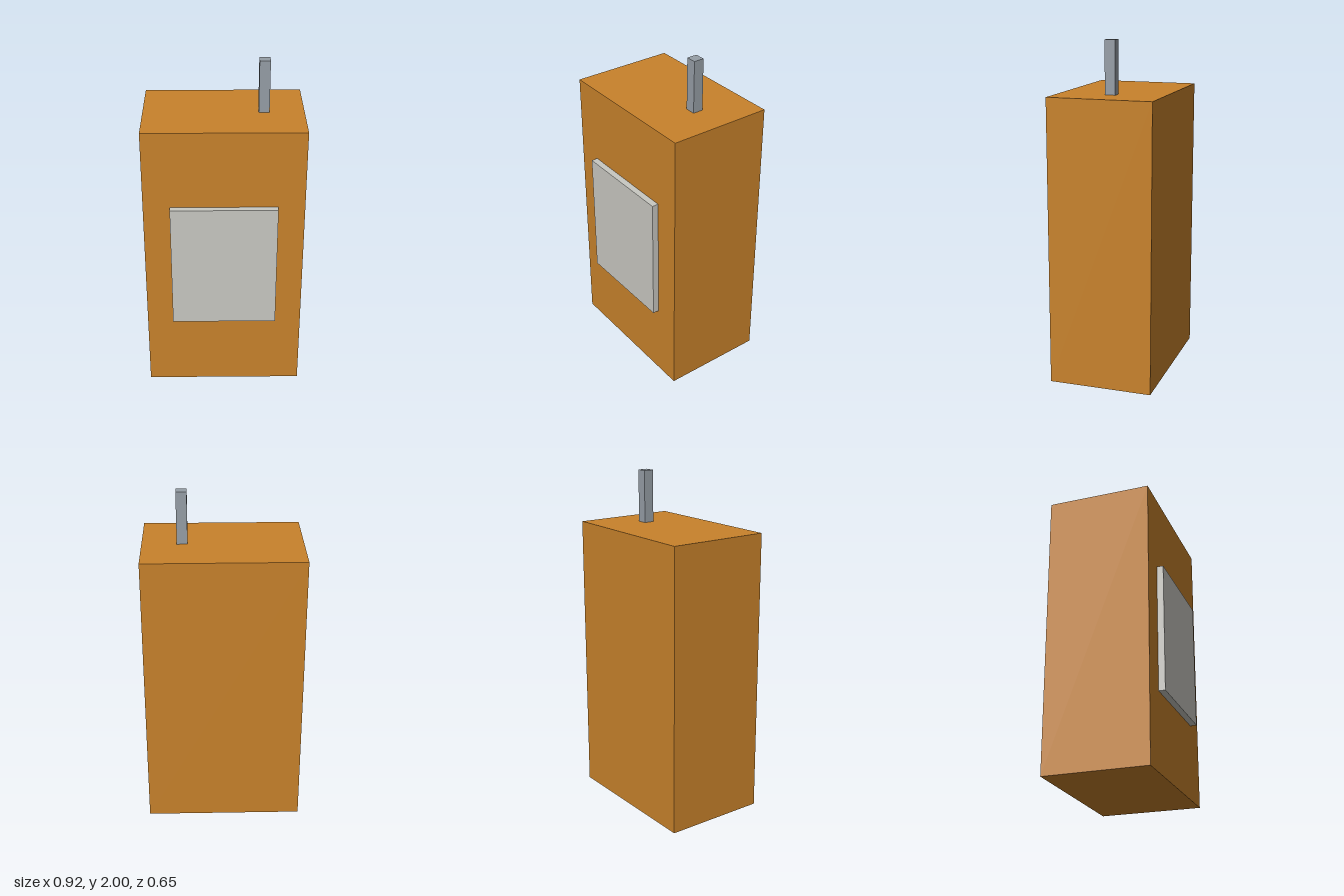
import * as THREE from 'three';

const paint = (name, color) => {
  const material = new THREE.MeshStandardMaterial({ color });
  material.name = name;
  return material;
};

// Box given by its size and the position of its base centre
function block(name, material, [w, h, d], [x, y, z]) {
  const mesh = new THREE.Mesh(new THREE.BoxGeometry(w, h, d), material);
  mesh.name = name;
  mesh.position.set(x, y + h / 2, z);
  return mesh;
}

export function createModel() {
  const orange = paint('orange casing', 0xc8822b);
  const paleGrey = paint('pale grey panel', 0xc9c8c2);
  const steel = paint('steel grey', 0x969ea6);

  const model = new THREE.Group();
  model.name = 'handheldUnit';
  const bodyZ = -0.0192;

  model.add(
    // Main casing
    block('casing', orange, [0.923, 1.692, 0.615], [0, 0, bodyZ]),
    // Raised panel on the front face
    block('frontPanel', paleGrey, [0.615, 0.769, 0.0385], [0, 0.4615, 0.3077]),
    // Square antenna on the top, towards the left
    block('antenna', steel, [0.0615, 0.308, 0.0615], [0.231, 1.692, bodyZ])
  );
  return model;
}
